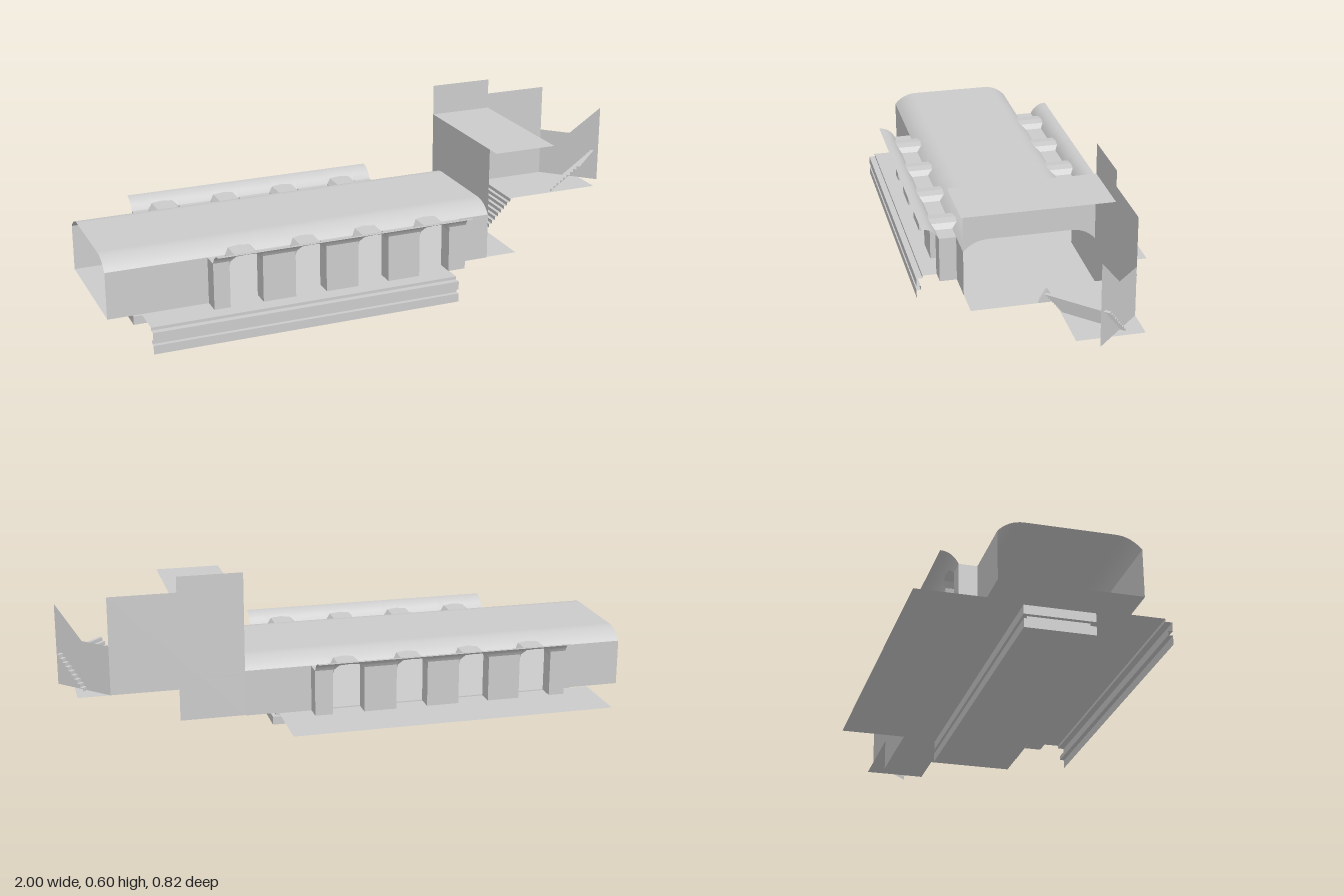
import * as THREE from 'three';

const mat = new THREE.MeshStandardMaterial({ color: 0xcccccc, side: THREE.DoubleSide });
const V = (x, y, z) => new THREE.Vector3(x, y, z);
const MID = 0.0465;           // z of the hall's centre line
const FRONT = 0.275, BACK = 2 * MID - FRONT;

function add(parent, name, geometry) {
  const m = new THREE.Mesh(geometry, mat);
  m.name = name;
  parent.add(m);
  return m;
}

// Surface through a list of matching polylines
function loft(lines, smooth = false) {
  const pos = [], idx = [], n = lines[0].length;
  for (const p of lines.flat()) pos.push(p.x, p.y, p.z);
  for (let r = 0; r < lines.length - 1; r++)
    for (let i = 0; i < n - 1; i++) {
      const a = r * n + i, b = a + n;
      idx.push(a, a + 1, b, a + 1, b + 1, b);
    }
  let g = new THREE.BufferGeometry();
  g.setAttribute('position', new THREE.Float32BufferAttribute(pos, 3));
  g.setIndex(idx);
  if (!smooth) g = g.toNonIndexed();
  g.computeVertexNormals();
  return g;
}
const sweep = (pts, d) => loft([pts, pts.map(p => p.clone().add(d))]);

// Profile of [z, y] points drawn out along x
const alongX = (prof, x0, x1) => sweep(prof.map(([z, y]) => V(x0, y, z)), V(x1 - x0, 0, 0));

// Flat polygon of 2D points
const panel = pts => new THREE.ShapeGeometry(new THREE.Shape(pts.map(p => new THREE.Vector2(...p))));

// Horizontal rectangle
function slab(x0, x1, z0, z1, y) {
  return new THREE.PlaneGeometry(x1 - x0, z1 - z0).rotateX(-Math.PI / 2).translate((x0 + x1) / 2, y, (z0 + z1) / 2);
}

// Coves: quadratic curves in z, rising from y 0.25 to 0.29
const bez = (a, b, c, t) => a * (1 - t) ** 2 + 2 * b * t * (1 - t) + c * t * t;
const hallZ = t => bez(FRONT, 0.24, 0.19, t);
const trackZ = t => bez(0.335, 0.355, 0.394, t);
const coveY = t => bez(0.25, 0.29, 0.29, t);
const tAtY = y => (y <= 0.25 ? 0 : 1 - Math.sqrt(1 - (y - 0.25) / 0.04));

// Chamfered arch of a passage: [share of half width, y]
const ARCH = [[-1, 0.235], [-0.92, 0.25], [-0.65, 0.267], [0, 0.27], [0.65, 0.267], [0.92, 0.25], [1, 0.235]];

// Cove surface cut along the passage arches; columns are [x, lower y]
function coveSurface(columns, f, zs) {
  const rows = Array.from({ length: 9 }, (_, r) => columns.map(([x, y]) => {
    const t0 = tAtY(y), t = t0 + (1 - t0) * r / 8;
    return V(x, coveY(t), zs(f(t)));
  }));
  return loft(rows, true);
}

// Zigzag of equal steps from a start point
function steps(start, run, rise, n) {
  const pts = [start.clone()], p = start.clone();
  for (let i = 0; i < n; i++) {
    p.y += rise / n;
    pts.push(p.clone());
    p.addScaledVector(run, 1 / n);
    pts.push(p.clone());
  }
  return pts;
}

// One side of the hall: walls, piers, arched passages and coves; side +1 front, -1 back
function arcade(side, shift) {
  const g = new THREE.Group();
  g.name = side > 0 ? 'frontArcade' : 'backArcade';
  const zs = z => MID + side * (z - MID);
  const edges = [-0.656, -0.6, -0.485, -0.37, -0.26, -0.145, -0.033, 0.083, 0.195, 0.258].map(x => x + shift);
  const columns = [[edges[0], 0.25]];
  for (let i = 0; i < edges.length; i += 2) {
    const w = edges[i + 1] - edges[i];
    add(g, 'pier', new THREE.BoxGeometry(w, 0.163, 0.06).translate(edges[i] + w / 2, 0.1685, zs(0.305)));
  }
  for (let i = 1; i < edges.length - 1; i += 2) {
    const c = (edges[i] + edges[i + 1]) / 2, h = (edges[i + 1] - edges[i]) / 2;
    const arch = ARCH.map(([u, y]) => [c + u * h, y]);
    columns.push(...arch);
    const line = f => arch.map(([x, y]) => V(x, y, zs(f(tAtY(y)))));
    add(g, 'passageVault', loft([line(hallZ), line(trackZ)]));
  }
  columns.push([edges[9], 0.25]);
  add(g, 'trackCove', coveSurface(columns, trackZ, zs));
  add(g, 'hallCove', coveSurface([[-1, 0.25], ...columns, [0.375, 0.25]], hallZ, zs));
  for (const [x0, x1] of [[-1, edges[0]], [edges[9], 0.375]])
    add(g, 'hallWall', alongX([[zs(FRONT), 0.087], [zs(FRONT), 0.25]], x0, x1));
  return g;
}

export function createModel() {
  const root = new THREE.Group();
  root.name = 'undergroundStation';

  // Hall
  add(root, 'hallCeiling', slab(-1, 0.375, 2 * MID - 0.19, 0.19, 0.29));
  add(root, 'hallFloor', slab(-1, 0.49, BACK, FRONT, 0.089));
  root.add(arcade(1, 0), arcade(-1, -0.115));

  // Track side platforms and the stepped edge strip
  add(root, 'backPlatform', slab(-0.885, 0.257, -0.41, BACK, 0.085));
  add(root, 'frontPlatform', slab(-0.885, 0.2, 0.16, 0.385, 0.085));
  const edge = [[0.407, 0], [0.407, 0.03], [0.392, 0.03], [0.392, 0.045], [0.407, 0.045], [0.407, 0.075], [0.385, 0.075], [0.385, 0.085]];
  add(root, 'platformEdge', alongX(edge, -0.885, 0.2));

  // Stepped base under the hall
  for (const [y0, y1, inset] of [[0, 0.03, 0], [0.03, 0.045, 0.014], [0.045, 0.075, 0], [0.075, 0.086, 0.023]])
    add(root, 'baseTier', new THREE.BoxGeometry(1.142 - 2 * inset, y1 - y0, 0.23 - 2 * inset).translate(-0.314, (y0 + y1) / 2, 0.0455));

  // Tall lobby: end wall over the hall opening, roof and back wall
  const half = Array.from({ length: 9 }, (_, i) => [hallZ(i / 8), coveY(i / 8)]);
  const opening = [...half, ...half.map(([z, y]) => [2 * MID - z, y]).reverse()];
  add(root, 'lobbyEndWall', panel([[BACK, 0.49], [FRONT, 0.49], ...opening]).rotateY(-Math.PI / 2).translate(0.375, 0, 0));
  add(root, 'lobbyRoof', slab(0.375, 0.602, BACK, 0.325, 0.49));
  add(root, 'lobbyBackWall', panel([[0.375, 0.089], [0.602, 0.089], [0.602, 0.202], [0.835, 0.202], [0.835, 0.545],
    [0.602, 0.545], [0.602, 0.6], [0.375, 0.6]]).translate(0, 0, BACK));

  // Lower stairs and landing
  add(root, 'lowerStairs', sweep(steps(V(0.49, 0.089, 0.046), V(0.11, 0, 0), 0.113, 9), V(0, 0, BACK - 0.046)));
  add(root, 'landing', slab(0.6, 0.945, BACK, 0.041, 0.202));

  // Upper stairs, turned by 45 degrees
  add(root, 'upperStairs', sweep(steps(V(0.76, 0.202, 0.038), V(0.077, 0, 0.077), 0.115, 9), V(0.162, 0, -0.162)));

  // Diagonal wall beside the upper stairs
  const exit = new THREE.Group();
  exit.name = 'exitSide';
  exit.position.set(0.835, 0, BACK);
  exit.rotation.y = Math.PI / -4;
  add(exit, 'exitWall', panel([[0, 0.202], [0.228, 0.202], [0.228, 0.488], [0.114, 0.375], [0, 0.375]]));
  root.add(exit);

  // Handrails, thin bands following the stairs
  const rail = pts => panel([...pts, ...pts.map(([x, y]) => [x, y + 0.005]).reverse()]).translate(0, 0, -0.001);
  add(root, 'lowerHandrail', rail([[0.375, 0.235], [0.49, 0.235], [0.6, 0.343], [0.835, 0.343]]).translate(0, 0, BACK));
  add(exit, 'upperHandrail', rail([[0, 0.343], [0.114, 0.343], [0.228, 0.456]]));

  return root;
}
